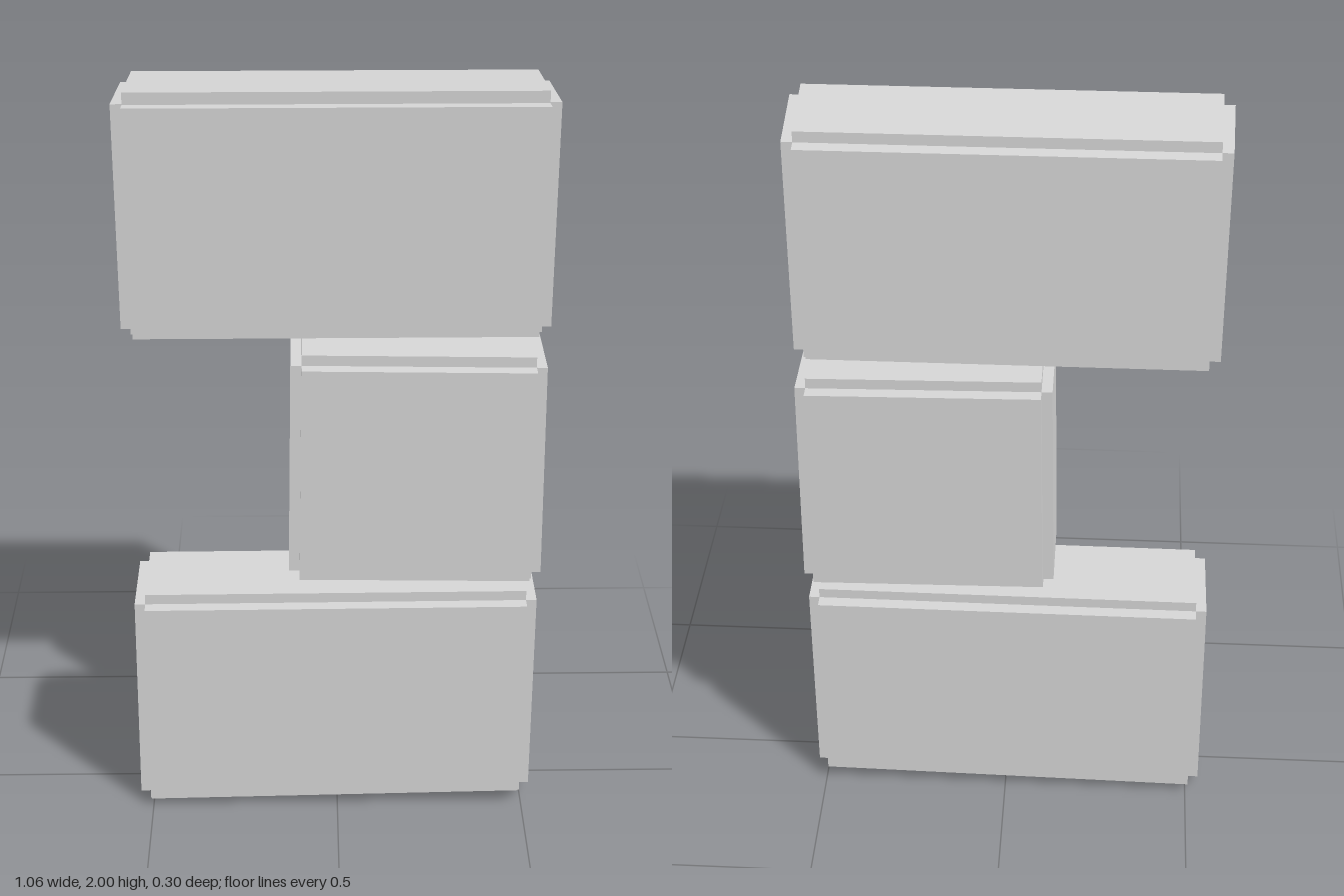
import * as THREE from 'three';

const STEP = 0.028; // depth of the notch running along every edge

// Box between two corners, with each vertex moved by the block's warp rule
function warpedBox([x0, x1], [y0, y1], [z0, z1], warp) {
  const g = new THREE.BoxGeometry(x1 - x0, y1 - y0, z1 - z0);
  g.translate((x0 + x1) / 2, (y0 + y1) / 2, (z0 + z1) / 2);
  const p = g.attributes.position;
  const v = new THREE.Vector3();
  for (let i = 0; i < p.count; i++) {
    v.fromBufferAttribute(p, i);
    warp(v);
    p.setXYZ(i, v.x, v.y, v.z);
  }
  g.computeVertexNormals();
  return g;
}

// Stone block: three crossing slabs, each raised along one axis
function stoneBlock({ name, x, y, z, warp }, material) {
  const block = new THREE.Group();
  block.name = name;
  const inset = ([a, b], d) => [a + d, b - d];
  ['sideFaces', 'topAndBottomFaces', 'frontAndBackFaces'].forEach((part, axis) => {
    const [xr, yr, zr] = [x, y, z].map((r, i) => (i === axis ? r : inset(r, i === 2 ? 0.034 : STEP)));
    const mesh = new THREE.Mesh(warpedBox(xr, yr, zr, warp), material);
    mesh.name = part;
    block.add(mesh);
  });
  return block;
}

export function createModel() {
  const model = new THREE.Group();
  model.name = 'stackedBlocks';
  const stone = new THREE.MeshStandardMaterial({ color: 0xd5d5d5 });
  stone.name = 'pale grey stone';

  const blocks = [
    {
      name: 'lowerBlock', x: [-0.535, 0.522], y: [0, 0.65], z: [-0.145, 0.152],
      // underside rises to the right, left end leans in slightly towards the top
      warp: (v) => {
        const t = v.y / 0.65;
        const s = (v.x + 0.535) / 1.057;
        v.y += (1 - t) * 0.018 * s - t * 0.004 * (1 - s);
        v.x += t * 0.006 * (1 - s);
      },
    },
    {
      name: 'middleBlock', x: [-0.126, 0.53], y: [0.68, 1.32], z: [-0.147, 0.143],
      // ends taper upwards, top and underside fall to the right
      warp: (v) => {
        const t = (v.y - 0.68) / 0.64;
        const s = (v.x + 0.126) / 0.656;
        v.x += t * (0.01 * (1 - s) - 0.007 * s);
        v.y += 0.004 - 0.01 * s;
      },
    },
    {
      name: 'upperBlock', x: [-0.532, 0.527], y: [1.37, 2], z: [-0.144, 0.143],
      // top slopes down to the back, body leans forward, back end is narrower
      warp: (v) => {
        const t = (v.y - 1.37) / 0.63;
        v.y += t * 0.07 * Math.min(0, v.z - 0.109);
        v.z += t * 0.007;
        v.x *= 1 + 0.07 * (v.z - 0.12);
      },
    },
  ];
  blocks.forEach((b) => model.add(stoneBlock(b, stone)));
  return model;
}
